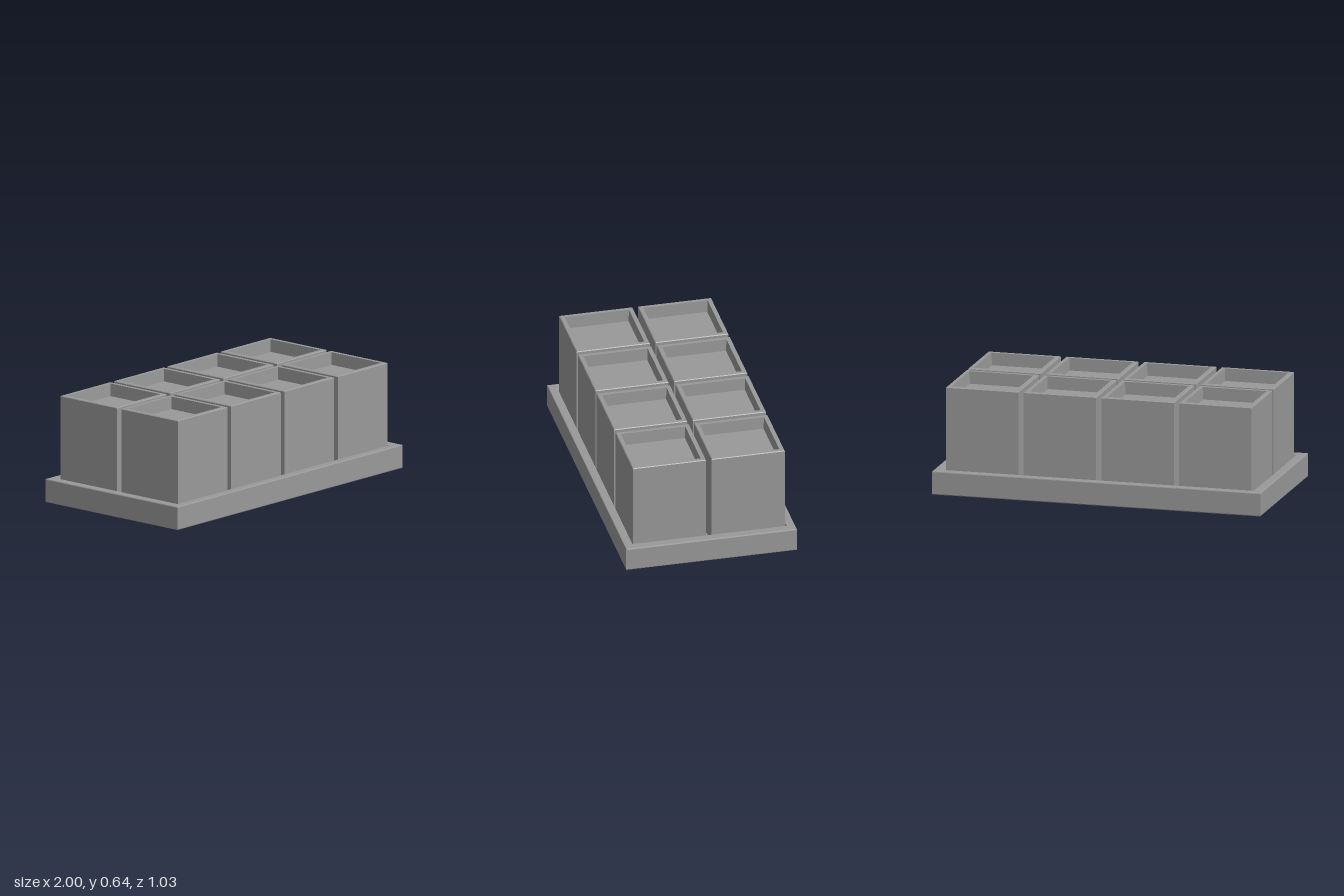
import * as THREE from 'three';

const material = new THREE.MeshStandardMaterial({ color: 0x999999 });

function rectPath(path, hx, hz) {
  path.moveTo(-hx, -hz);
  path.lineTo(hx, -hz);
  path.lineTo(hx, hz);
  path.lineTo(-hx, hz);
  path.closePath();
  return path;
}

// Closed square pot: profile of half-widths and heights, swept around four sides
function potGeometry() {
  const h = 0.2205, b = 0.004, bottom = 0.07, top = 0.64, rim = 0.027, floor = 0.565;
  const profile = [
    [0, bottom], [h - b, bottom], [h, bottom + b],
    [h, top - b], [h - b, top],
    [h - rim, top], [h - rim - 0.003, floor], [0, floor],
  ].map(([r, y]) => new THREE.Vector2(r * Math.SQRT2, y));
  const geometry = new THREE.LatheGeometry(profile, 4).rotateY(Math.PI / 4).toNonIndexed();
  geometry.computeVertexNormals();
  return geometry;
}

export function createModel() {
  const model = new THREE.Group();
  model.name = 'potTray';
  const add = (name, geometry, x = 0, y = 0, z = 0) => {
    const mesh = new THREE.Mesh(geometry, material);
    mesh.name = name;
    mesh.position.set(x, y, z);
    model.add(mesh);
  };

  // Rectangular tray frame with softened edges
  const bevel = 0.006;
  const outline = rectPath(new THREE.Shape(), 1 - bevel, 0.515 - bevel);
  outline.holes.push(rectPath(new THREE.Path(), 0.942 + bevel, 0.462 + bevel));
  const frame = new THREE.ExtrudeGeometry(outline, {
    depth: 0.142 - 2 * bevel, bevelThickness: bevel, bevelSize: bevel, bevelSegments: 2,
  });
  frame.rotateX(-Math.PI / 2).translate(0, bevel, 0);
  add('trayFrame', frame);

  // Cross slats carrying the pots
  const slat = new THREE.BoxGeometry(0.1, 0.035, 0.93);
  for (let i = -5; i <= 5; i++) add('slat', slat, i * 0.168, 0.0525, 0);

  // Two rows of four pots
  const pot = potGeometry();
  for (const z of [-0.237, 0.237]) {
    for (let i = 0; i < 4; i++) add('pot', pot, (i - 1.5) * 0.4735, 0, z);
  }
  return model;
}
